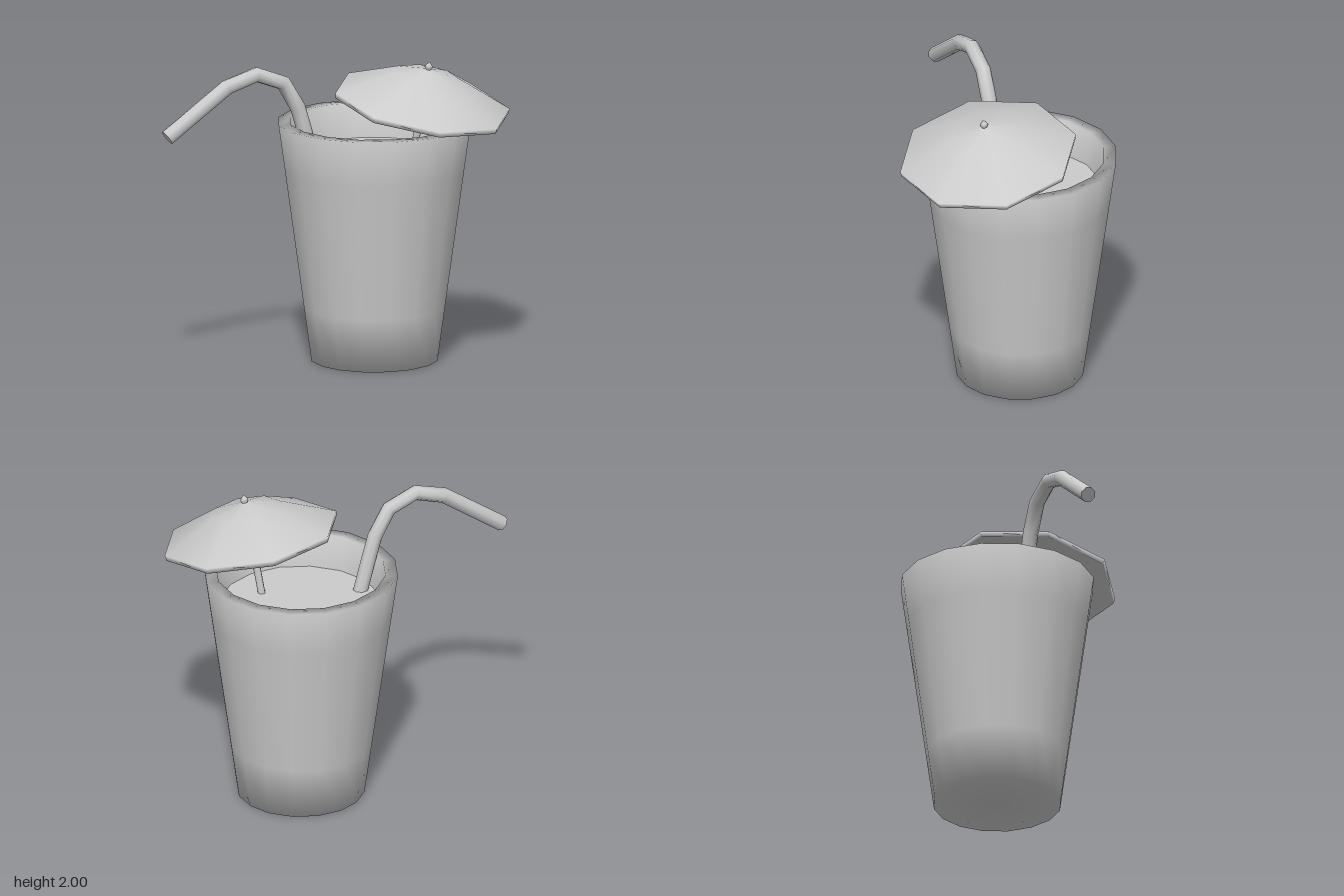
import * as THREE from 'three';

const material = new THREE.MeshStandardMaterial({ color: 0xcccccc });

function addMesh(parent, name, geometry) {
  const mesh = new THREE.Mesh(geometry, material);
  mesh.name = name;
  parent.add(mesh);
  return mesh;
}

function lathe(profile, sides) {
  return new THREE.LatheGeometry(profile.map(([r, y]) => new THREE.Vector2(r, y)), sides);
}

// Path with one tube ring at each point and mitred tangents at the bends
class BentPath extends THREE.Curve {
  constructor(points) {
    super();
    this.points = points;
  }
  getPointAt(t, target = new THREE.Vector3()) {
    return target.copy(this.points[Math.round(t * (this.points.length - 1))]);
  }
  getTangentAt(t, target = new THREE.Vector3()) {
    const p = this.points, last = p.length - 1, i = Math.round(t * last);
    const before = p[i].clone().sub(p[Math.max(i - 1, 0)]).normalize();
    const after = p[Math.min(i + 1, last)].clone().sub(p[i]).normalize();
    return target.copy(before.add(after)).normalize();
  }
}

function createCup() {
  const cup = new THREE.Group();
  cup.name = 'cup';
  cup.position.set(-0.045, 0, -0.3);
  // Tapered wall with support rings, flat rim and inner wall
  const wall = (y) => 0.41 + 0.215 * y / 1.555;
  addMesh(cup, 'glass', lathe([
    [0, 0], [0.41, 0], [wall(0.35), 0.35], [wall(1.25), 1.25],
    [0.625, 1.555], [0.545, 1.555], [0.512, 1.31],
  ], 16));
  // Drink surface
  const drink = addMesh(cup, 'drink', new THREE.CircleGeometry(0.518, 16));
  drink.rotation.x = -Math.PI / 2;
  drink.position.y = 1.33;
  return cup;
}

function createStraw() {
  const straw = new THREE.Group();
  straw.name = 'straw';
  // Bends lie in one upright plane: [distance outwards, height]
  const points = [
    [-0.005, 1.3], [0.065, 1.555], [0.105, 1.69], [0.205, 1.86],
    [0.392, 1.932], [0.595, 1.868], [1.012, 1.572],
  ].map(([s, y]) => new THREE.Vector3(-0.285 - 0.561 * s, y, 0.05 + 0.828 * s));
  const radius = 0.05, last = points.length - 1;
  const tube = new THREE.TubeGeometry(new BentPath(points), last, radius, 8);
  addMesh(straw, 'strawTube', tube);
  // Cap on the drinking end, aligned to the tube's last ring
  const cap = addMesh(straw, 'strawTip', new THREE.CircleGeometry(radius, 8));
  cap.quaternion.setFromRotationMatrix(new THREE.Matrix4().makeBasis(
    tube.normals[last], tube.binormals[last], tube.tangents[last]));
  cap.position.copy(points[last]);
  return straw;
}

function createUmbrella() {
  const umbrella = new THREE.Group();
  umbrella.name = 'umbrella';
  umbrella.position.set(0.32, 1.715, -0.3);
  umbrella.rotation.z = -0.198;
  // Thin eight-sided canopy: underside, rim, then top
  addMesh(umbrella, 'canopy', lathe([
    [0, 0.205], [0.22, 0.145], [0.57, -0.018],
    [0.577, 0.018], [0.23, 0.182], [0, 0.24],
  ], 8));
  // Stick down into the drink
  const stick = addMesh(umbrella, 'stick', new THREE.CylinderGeometry(0.024, 0.024, 0.64, 8));
  stick.position.y = -0.1;
  // Pointed knob on top
  addMesh(umbrella, 'knob', lathe([[0.012, 0.22], [0.027, 0.25], [0.02, 0.263], [0, 0.287]], 8));
  return umbrella;
}

export function createModel() {
  const model = new THREE.Group();
  model.name = 'cocktail';
  model.add(createCup(), createStraw(), createUmbrella());
  return model;
}
